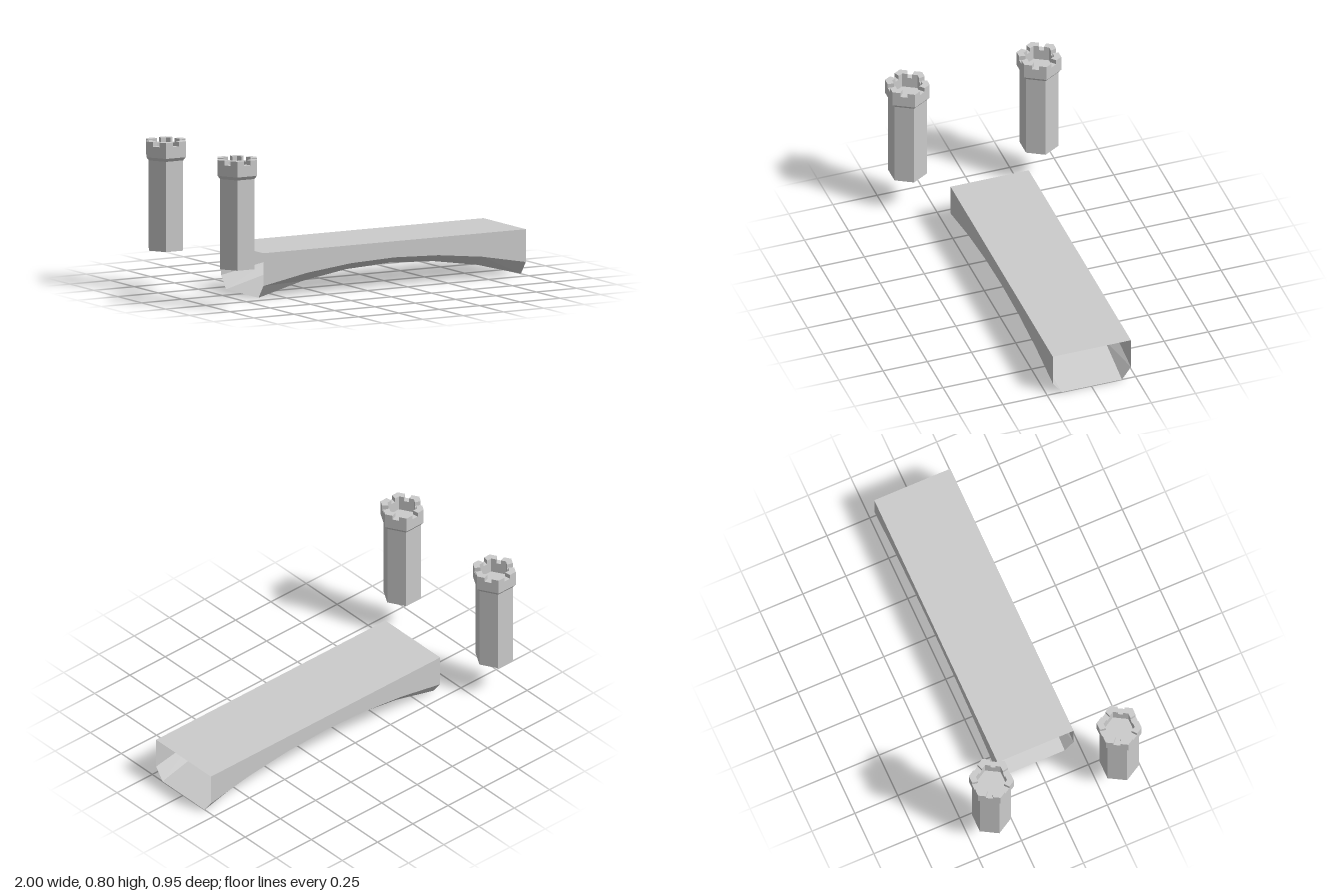
import * as THREE from 'three';

const material = new THREE.MeshStandardMaterial({ color: 0xcccccc, flatShading: true, side: THREE.DoubleSide });

// Tower dimensions
const SHAFT = 0.1055, CROWN = 0.121, INNER = 0.083;
const FOOT = 0.21, NECK = 0.697, CROWN_BASE = 0.715, SILL = 0.775, TOP = 0.8;

// Hexagonal shaft, flared collar and hollow parapet in one turned profile
function towerBody() {
  const profile = [
    [SHAFT, FOOT], [SHAFT, NECK], [CROWN, CROWN_BASE], [CROWN, SILL],
    [INNER, SILL], [INNER, CROWN_BASE], [0, CROWN_BASE],
  ].map(([r, y]) => new THREE.Vector2(r, y));
  const mesh = new THREE.Mesh(new THREE.LatheGeometry(profile, 6, Math.PI / 6), material);
  mesh.name = 'towerBody';
  return mesh;
}

// Merlon wrapping one corner of the parapet
function merlon(i) {
  const corner = (k, r) => new THREE.Vector2(Math.cos(k * Math.PI / 3), Math.sin(k * Math.PI / 3)).multiplyScalar(r);
  const arm = 0.342; // share of each hexagon side covered from the corner
  const along = (r, step) => corner(i, r).lerp(corner(i + step, r), arm);
  const shape = new THREE.Shape([
    along(CROWN, -1), corner(i, CROWN), along(CROWN, 1),
    along(INNER, 1), corner(i, INNER), along(INNER, -1),
  ]);
  const geometry = new THREE.ExtrudeGeometry(shape, { depth: TOP - SILL, bevelEnabled: false });
  geometry.rotateX(-Math.PI / 2).translate(0, SILL, 0);
  const mesh = new THREE.Mesh(geometry, material);
  mesh.name = 'merlon';
  return mesh;
}

function tower(name, z) {
  const group = new THREE.Group();
  group.name = name;
  group.add(towerBody());
  for (let i = 0; i < 6; i++) group.add(merlon(i));
  group.position.set(-0.879, 0, z);
  return group;
}

// Open-ended bridge: flat deck, straight walls, chamfered arched underside
function bridge() {
  const spans = 6, x0 = -0.625, x1 = 1, deckY = 0.247, half = 0.221, bottomHalf = 0.17;
  const positions = [], index = [];
  for (let s = 0; s <= spans; s++) {
    const t = s / spans;
    const arch = 1 - (2 * t - 1) ** 2;
    const x = x0 + (x1 - x0) * t;
    const wallY = 0.07 + 0.09 * arch, bottomY = 0.125 * arch;
    const section = [
      [deckY, half], [wallY, half], [bottomY, bottomHalf],
      [bottomY, -bottomHalf], [wallY, -half], [deckY, -half],
    ];
    for (const [y, z] of section) positions.push(x, y, z - 0.003);
  }
  for (let s = 0; s < spans; s++) {
    for (let k = 0; k < 6; k++) {
      const a = s * 6 + k, b = s * 6 + (k + 1) % 6;
      index.push(a, b, b + 6, a, b + 6, a + 6);
    }
  }
  const geometry = new THREE.BufferGeometry();
  geometry.setAttribute('position', new THREE.Float32BufferAttribute(positions, 3));
  geometry.setIndex(index);
  geometry.computeVertexNormals();
  const mesh = new THREE.Mesh(geometry, material);
  mesh.name = 'bridge';
  return mesh;
}

export function createModel() {
  const model = new THREE.Group();
  model.name = 'bridgeWithTowers';
  model.add(bridge(), tower('frontTower', 0.372), tower('backTower', -0.372));
  return model;
}
